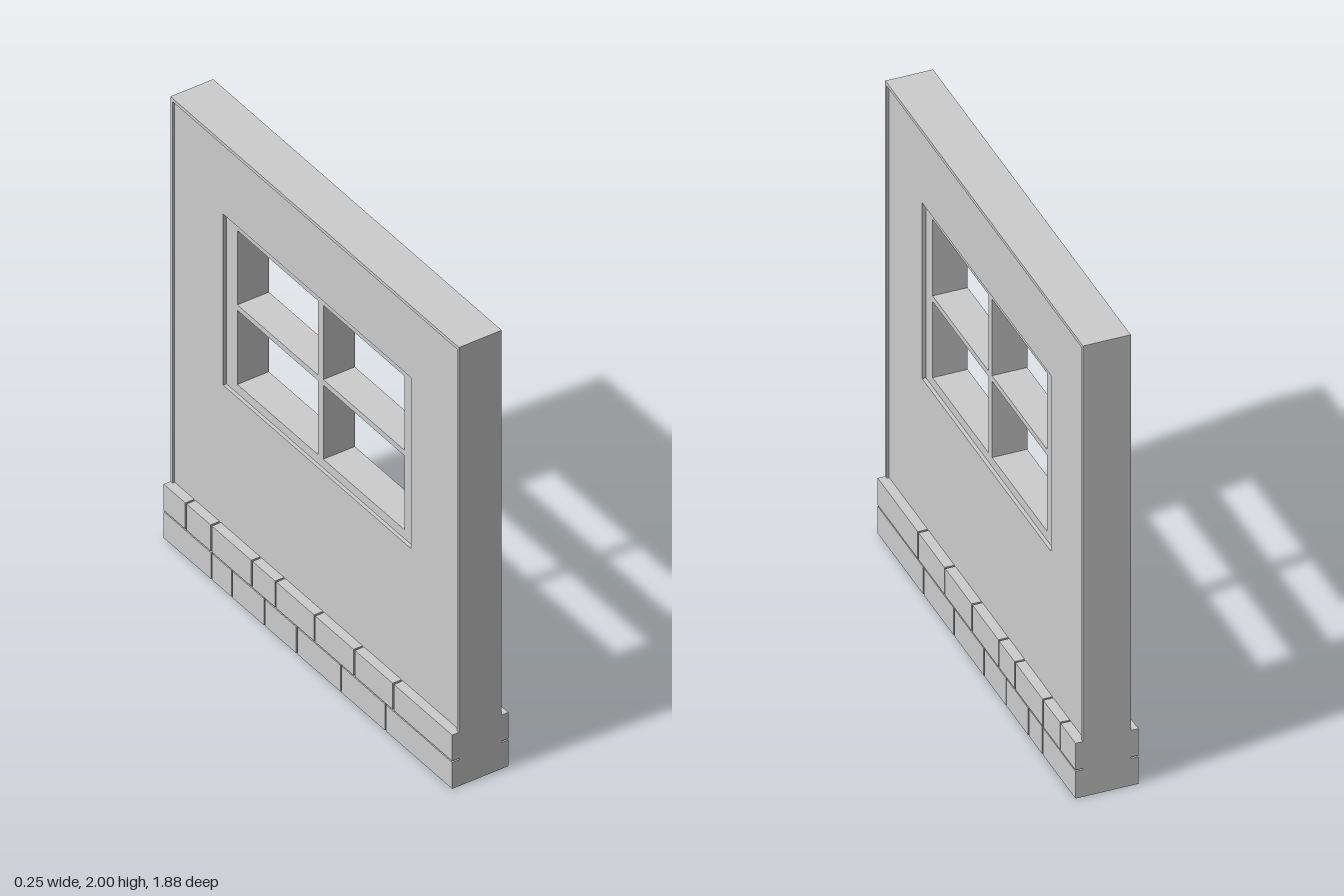
import * as THREE from 'three';

const stone = new THREE.MeshStandardMaterial({ color: 0xcccccc });
stone.name = 'pale grey';

// Rectangle as a closed list of points (z across, y up)
const rect = (z0, z1, y0, y1) => [[z0, y0], [z1, y0], [z1, y1], [z0, y1]].map(p => new THREE.Vector2(...p));

// Slab standing in the z-y plane, centred on x = 0, with cut-outs
function slab(name, outline, holes, depth) {
  const shape = new THREE.Shape(outline);
  for (const h of holes) shape.holes.push(new THREE.Path(h));
  const geo = new THREE.ExtrudeGeometry(shape, { depth, bevelEnabled: false });
  geo.translate(0, 0, -depth / 2).rotateY(-Math.PI / 2);
  const mesh = new THREE.Mesh(geo, stone);
  mesh.name = name;
  return mesh;
}

// One course of stones on both faces, split at the given joints
function course(name, joints, y0, y1) {
  const group = new THREE.Group();
  group.name = name;
  const gap = 0.008, inner = 0.085, outer = 0.125;
  const ends = [-0.94 - gap / 2, ...joints, 0.94 + gap / 2];
  for (let i = 0; i < ends.length - 1; i++) {
    const a = ends[i] + gap / 2, b = ends[i + 1] - gap / 2;
    for (const side of [-1, 1]) {
      const stoneBlock = new THREE.Mesh(new THREE.BoxGeometry(outer - inner, y1 - y0, b - a), stone);
      stoneBlock.name = 'baseStone';
      stoneBlock.position.set(side * (inner + outer) / 2, (y0 + y1) / 2, (a + b) / 2);
      group.add(stoneBlock);
    }
  }
  return group;
}

export function createModel() {
  const model = new THREE.Group();
  model.name = 'windowWall';
  const opening = rect(-0.61, 0.613, 0.88, 1.66);

  // Plain wall panel, set slightly behind its raised rim
  model.add(slab('wallPanel', rect(-0.926, 0.926, 0, 1.985), [opening], 0.17));

  // Raised rim along both ends and the top
  const rim = [[-0.94, 0], [-0.926, 0], [-0.926, 1.985], [0.926, 1.985], [0.926, 0], [0.94, 0], [0.94, 2], [-0.94, 2]];
  model.add(slab('wallRim', rim.map(p => new THREE.Vector2(...p)), [], 0.19));

  // Core behind the lowest stones
  const core = new THREE.Mesh(new THREE.BoxGeometry(0.19, 0.24, 1.88), stone);
  core.name = 'wallCore';
  core.position.y = 0.12;
  model.add(core);

  // Recessed window frame with crossing bars and four open panes
  const panes = [];
  for (const [z0, z1] of [[-0.54, -0.016], [0.02, 0.55]])
    for (const [y0, y1] of [[0.92, 1.258], [1.283, 1.622]]) panes.push(rect(z0, z1, y0, y1));
  model.add(slab('windowFrame', opening, panes, 0.14));

  // Two courses of base stones
  model.add(course('lowerCourse', [-0.627, -0.495, -0.282, -0.072, 0.215, 0.505], 0, 0.12));
  model.add(course('upperCourse', [-0.795, -0.63, -0.365, -0.21, 0.044, 0.302, 0.556], 0.126, 0.245));
  return model;
}
